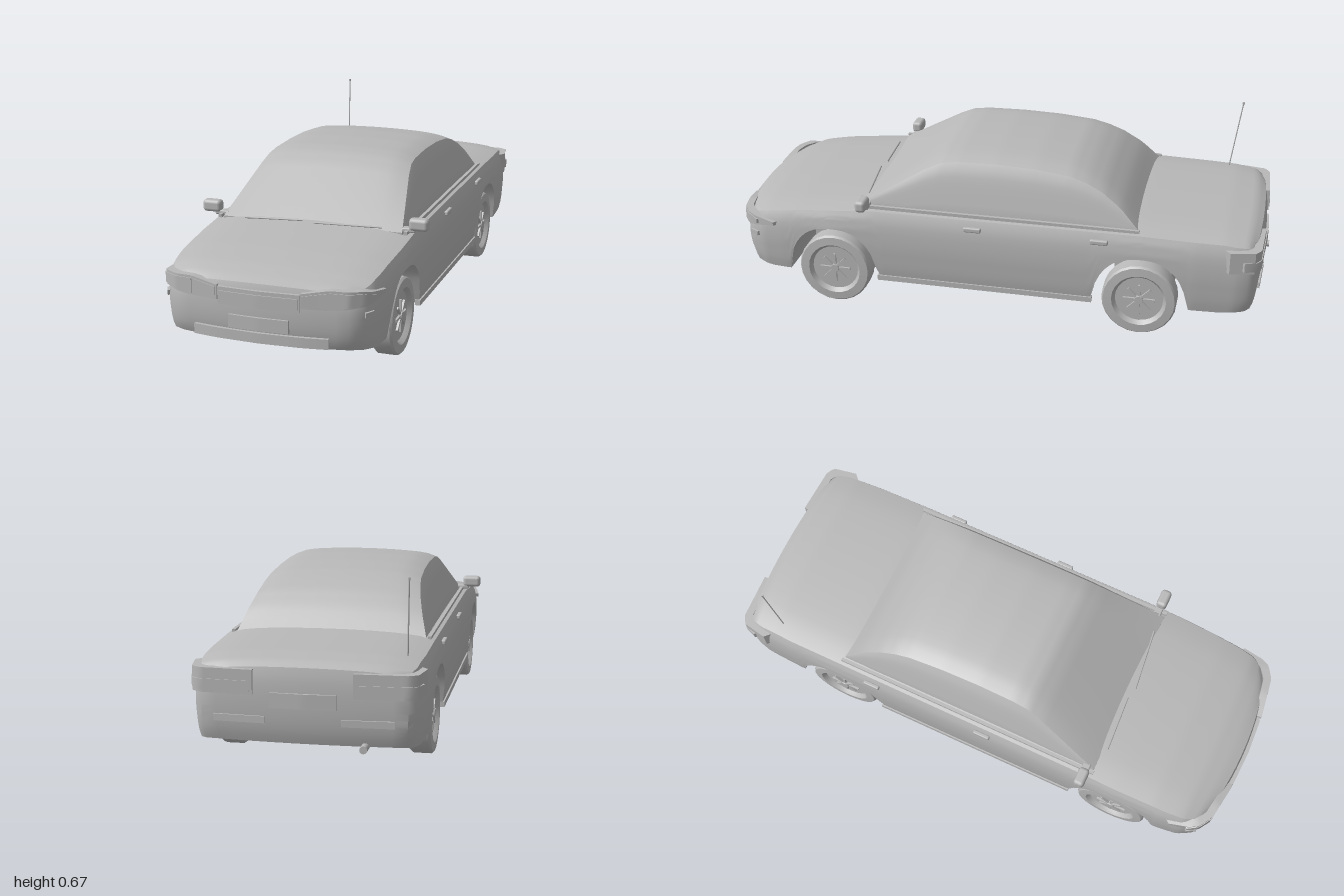
import * as THREE from 'three';
import { toCreasedNormals } from 'three/addons/utils/BufferGeometryUtils.js';
import { RoundedBoxGeometry } from 'three/addons/geometries/RoundedBoxGeometry.js';

const paint = new THREE.MeshStandardMaterial({ color: 0xb8b8b8 });
paint.name = 'plain grey';

// Piecewise linear lookup in a list of [key, value], keys ascending
function lookup(pts, k) {
  if (k <= pts[0][0]) return pts[0][1];
  for (let i = 1; i < pts.length; i++) {
    const [a, va] = pts[i - 1], [b, vb] = pts[i];
    if (k <= b) return va + (vb - va) * (k - a) / (b - a);
  }
  return pts[pts.length - 1][1];
}

// Outline of the car seen from above: half width -> distance to nose / tail
const nosePlan = [[0, 0.99], [0.15, 0.983], [0.3, 0.96], [0.345, 0.93], [0.37, 0.88], [0.38, 0.8], [0.388, 0.6]];
const tailPlan = [[0, 0.985], [0.34, 0.97], [0.365, 0.95], [0.378, 0.9], [0.386, 0.75], [0.388, 0.5]];
const widthOf = plan => plan.slice(1).map(([x, z]) => [z, x]).reverse();
const noseWidth = widthOf(nosePlan.slice(1)), tailWidth = widthOf(tailPlan);

const deck = [[-0.99, 0.38], [-0.95, 0.4], [-0.85, 0.411], [-0.55, 0.418], [0.45, 0.415], [0.6, 0.402],
  [0.75, 0.388], [0.88, 0.368], [0.95, 0.35], [0.99, 0.335]];
const flank = [[0, 0.965], [0.15, 0.985], [0.5, 1], [0.75, 0.995], [0.9, 0.975], [1, 0.945]];
const roofLine = [[-0.54, 0.4], [-0.47, 0.482], [-0.4, 0.537], [-0.34, 0.568], [-0.28, 0.588], [-0.15, 0.604],
  [0, 0.61], [0.14, 0.606], [0.2, 0.596], [0.26, 0.565], [0.5, 0.402]];
const FRONT_AXLE = 0.6, REAR_AXLE = -0.555;

// Underside height, with the wheel arches cut upward
function underside(z) {
  let y = 0.12 + 0.01 * Math.max(0, (Math.abs(z) - 0.85) / 0.15);
  for (const c of [FRONT_AXLE, REAR_AXLE]) {
    const t = Math.abs(z - c) / 0.172;
    if (t < 1) y = Math.max(y, 0.12 + 0.19 * Math.sqrt(1 - t ** 2.5));
  }
  return y;
}

// Box grid whose points (u -1..1, v 0..1, w -1..1) are moved by a rule
function mouldedBox(nx, ny, nz, rule, crease = 0.6) {
  const g = new THREE.BoxGeometry(2, 1, 2, nx, ny, nz);
  const p = g.attributes.position;
  for (let i = 0; i < p.count; i++) p.setXYZ(i, ...rule(p.getX(i), p.getY(i) + 0.5, p.getZ(i)));
  return toCreasedNormals(g, crease);
}

function bodyRule(u, v, w) {
  const front = w > 0, zc = w * (front ? 0.99 : 0.985);
  const fade = Math.max(0, (Math.abs(w) - 0.85) / 0.15);
  const bow = (front ? 0.03 : 0.015) * fade;
  const half = lookup(front ? noseWidth : tailWidth, Math.abs(zc) - bow);
  const top = lookup(deck, zc) - 0.012 * u * u - 0.012 * u ** 8;
  const low = underside(zc), y = low + (top - low) * v;
  const x = u * half * lookup(flank, (y - 0.12) / (top - 0.12));
  const lean = fade * (0.012 * v ** 6 + 0.02 * (1 - v) ** 5);
  return [x, y, zc - Math.sign(w) * (bow * u * u + lean)];
}

function cabinRule(u, v, w) {
  const z = -0.02 + 0.52 * w, base = 0.385;
  const h = lookup(roofLine, z), k = (h - 0.4) / 0.21;
  const top = h - k * (0.013 * u * u + 0.015 * u ** 10);
  const y = base + (top - base) * v;
  const half = 0.336 - 0.05 * Math.max(0, (y - 0.4) / 0.18) - 0.012 * k * v ** 8;
  return [u * half, y, z];
}

function add(parent, name, geometry, x = 0, y = 0, z = 0) {
  const m = new THREE.Mesh(geometry, paint);
  m.name = name;
  m.position.set(x, y, z);
  parent.add(m);
  return m;
}

// Panel hugging the nose or tail; low and high give heights against |x|
function panel(parent, name, x0, x1, low, high, plan, lift, tail = false) {
  const g = mouldedBox(14, 1, 1, (u, v, w) => {
    const x = x0 + (x1 - x0) * (u + 1) / 2, a = Math.abs(x);
    const y = lookup(low, a) + (lookup(high, a) - lookup(low, a)) * v;
    const out = w > 0 ? lift : -0.02;
    return [x + Math.sign(x) * out * (a / 0.38) ** 4, y, lookup(plan, a) + out];
  });
  if (tail) g.rotateY(Math.PI);
  return add(parent, name, g);
}
const flat = y => [[0, y]];

// Thin round rod between two points
function rod(parent, name, a, b, r) {
  const path = new THREE.LineCurve3(new THREE.Vector3(...a), new THREE.Vector3(...b));
  return add(parent, name, new THREE.TubeGeometry(path, 1, r, 6));
}

// Wheel with its outer face on +x
function makeWheel() {
  const wheel = new THREE.Group();
  const profile = [[0, -0.04], [0.08, -0.043], [0.122, -0.043], [0.137, -0.025], [0.137, 0.036], [0.131, 0.044],
    [0.1, 0.046], [0.095, 0.04], [0.088, 0.03], [0, 0.03]].map(q => new THREE.Vector2(...q));
  const tyre = new THREE.LatheGeometry(profile, 24);
  tyre.rotateZ(-Math.PI / 2);
  add(wheel, 'tyre and rim', toCreasedNormals(tyre, 0.5));
  const hub = new THREE.CylinderGeometry(0.015, 0.018, 0.014, 12);
  hub.rotateZ(-Math.PI / 2);
  add(wheel, 'hub', hub, 0.035);
  for (let i = 0; i < 8; i++) {
    const spoke = new THREE.BoxGeometry(0.01, 0.045, 0.009);
    spoke.translate(0.033, 0.036, 0);
    spoke.rotateX(i * Math.PI / 4);
    add(wheel, 'spoke', spoke);
  }
  return wheel;
}

export function createModel() {
  const car = new THREE.Group();
  car.name = 'saloon car';

  add(car, 'body', mouldedBox(14, 10, 110, bodyRule));
  add(car, 'cabin', mouldedBox(16, 8, 52, cabinRule, 0.5));

  // Nose and tail fittings
  panel(car, 'grille surround', -0.143, 0.143, flat(0.255), flat(0.315), nosePlan, 0.005);
  panel(car, 'grille', -0.138, 0.138, flat(0.265), flat(0.302), nosePlan, 0.009);
  panel(car, 'front plate', -0.105, 0.105, flat(0.18), flat(0.225), nosePlan, 0.008);
  panel(car, 'lower intake', -0.235, 0.235, flat(0.137), flat(0.172), nosePlan, 0.006);
  panel(car, 'rear plate', -0.11, 0.11, flat(0.25), flat(0.3), tailPlan, 0.008, true);
  const lampLow = [[0.145, 0.27], [0.25, 0.27], [0.355, 0.285], [0.378, 0.3]];
  const lampHigh = [[0.145, 0.32], [0.24, 0.337], [0.35, 0.334], [0.378, 0.312]];
  const inset = (pts, d) => pts.map(([x, y]) => [x, y + d]);

  for (const s of [-1, 1]) {
    const pair = (name, a, b, ...rest) => panel(car, name, Math.min(s * a, s * b), Math.max(s * a, s * b), ...rest);
    pair('headlamp housing', 0.145, 0.377, lampLow, lampHigh, nosePlan, 0.006);
    pair('indicator lens', 0.152, 0.232, inset(lampLow, 0.008), inset(lampHigh, -0.008), nosePlan, 0.009);
    pair('headlamp lens', 0.24, 0.365, inset(lampLow, 0.006), inset(lampHigh, -0.008), nosePlan, 0.009);
    pair('front side marker', 0.345, 0.362, flat(0.243), flat(0.26), nosePlan, 0.006);
    pair('tail lamp housing', 0.165, 0.38, flat(0.29), flat(0.372), tailPlan, 0.008, true);
    pair('tail lamp lens', 0.175, 0.375, flat(0.3), flat(0.335), tailPlan, 0.011, true);
    pair('rear bumper slot', 0.125, 0.295, flat(0.197), flat(0.22), tailPlan, 0.007, true);

    // Flank trim
    add(car, 'belt trim', new THREE.BoxGeometry(0.012, 0.012, 1.05), s * 0.348, 0.401, -0.02);
    add(car, 'sill', new THREE.BoxGeometry(0.02, 0.02, 0.81), s * 0.373, 0.125, 0.022);
    for (const z of [0.06, -0.405]) {
      add(car, 'door handle', new RoundedBoxGeometry(0.016, 0.018, 0.065, 2, 0.005), s * 0.383, 0.363, z);
    }

    // Door mirrors
    add(car, 'mirror arm', new RoundedBoxGeometry(0.055, 0.016, 0.03, 2, 0.005), s * 0.35, 0.407, 0.47);
    add(car, 'mirror', new RoundedBoxGeometry(0.07, 0.044, 0.04, 2, 0.013), s * 0.389, 0.429, 0.472);

    for (const z of [FRONT_AXLE, REAR_AXLE]) {
      const wheel = makeWheel();
      wheel.name = 'wheel';
      wheel.position.set(s * 0.329, 0.137, z);
      if (s < 0) wheel.rotation.y = Math.PI;
      car.add(wheel);
    }
  }

  // Blocks between the wheels
  for (const z of [FRONT_AXLE, REAR_AXLE]) {
    add(car, 'axle block', new THREE.BoxGeometry(0.534, 0.21, 0.21), 0, 0.172, z);
  }

  // Wipers, aerial and exhaust
  rod(car, 'right wiper', [-0.245, 0.408, 0.515], [-0.03, 0.414, 0.503], 0.004);
  rod(car, 'left wiper', [0.015, 0.412, 0.515], [0.26, 0.41, 0.488], 0.004);
  rod(car, 'aerial', [-0.314, 0.4, -0.818], [-0.322, 0.66, -0.855], 0.0025);
  add(car, 'aerial tip', new THREE.CylinderGeometry(0.004, 0.004, 0.01, 6), -0.322, 0.66, -0.855);
  const pipe = new THREE.CylinderGeometry(0.013, 0.013, 0.07, 12);
  pipe.rotateX(Math.PI / 2);
  add(car, 'exhaust', pipe, -0.2, 0.129, -0.965);
  return car;
}
